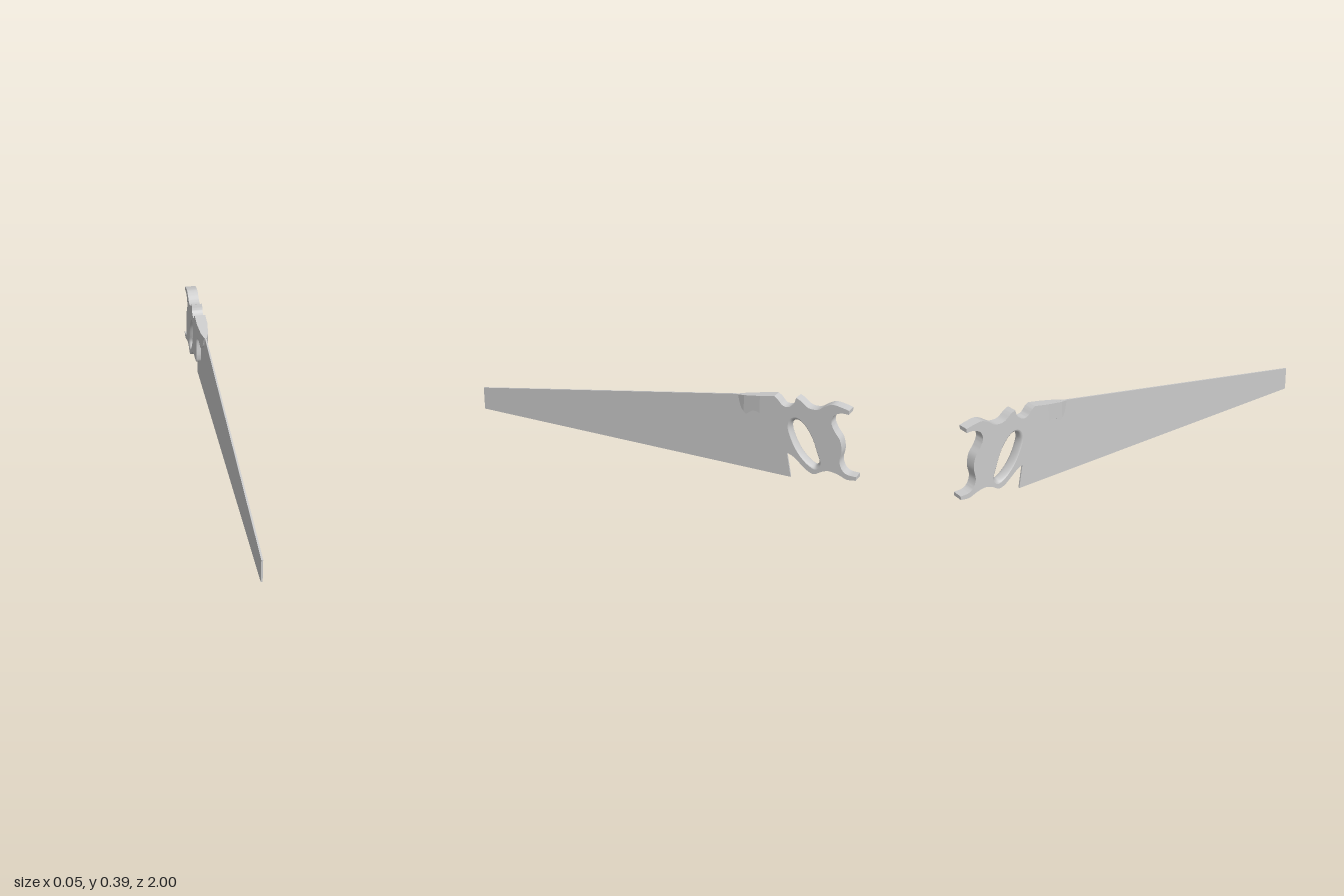
import * as THREE from 'three';
import { toCreasedNormals } from 'three/addons/utils/BufferGeometryUtils.js';

// Profiles are drawn in (u, y) with u = -z, then turned so that depth runs along x.
const HALF = 0.027;
const BLADE_HALF = 0.004;
const material = new THREE.MeshStandardMaterial({ color: 0xcccccc });

// Smooth curve through the points
function smooth(points, closed = false, steps = 5) {
  const curve = new THREE.CatmullRomCurve3(points.map(([u, y]) => new THREE.Vector3(u, y, 0)), closed);
  const n = (closed ? points.length : points.length - 1) * steps;
  const result = [];
  for (let i = 0; i < (closed ? n : n + 1); i++) {
    const p = curve.getPoint(i / n);
    result.push(new THREE.Vector2(p.x, p.y));
  }
  return result;
}

// Keep the part of an outline on one side of u = limit
function clip(points, limit, side) {
  const out = [];
  points.forEach((a, i) => {
    const b = points[(i + 1) % points.length];
    const da = (a.x - limit) * side, db = (b.x - limit) * side;
    if (da >= 0) out.push(a);
    if (da * db < 0) out.push(a.clone().lerp(b, da / (da - db)));
  });
  return out;
}

function slab(points, half, holes = []) {
  const shape = new THREE.Shape(points);
  holes.forEach((h) => shape.holes.push(new THREE.Path(h)));
  return new THREE.ExtrudeGeometry(shape, { depth: half * 2, bevelEnabled: false }).translate(0, 0, -half);
}

function addPart(group, name, geometry) {
  const mesh = new THREE.Mesh(geometry.rotateY(Math.PI / 2), material);
  mesh.name = name;
  group.add(mesh);
}

// Each run is smooth; corners between runs stay sharp
const OUTLINE_RUNS = [
  [[0.425, 0.345], [0.607, 0.377]],
  [[0.607, 0.377], [0.623, 0.366], [0.65, 0.34], [0.676, 0.339], [0.698, 0.356], [0.709, 0.388]],
  [[0.709, 0.388], [0.73, 0.378], [0.767, 0.352], [0.81, 0.352], [0.845, 0.374], [0.874, 0.387], [0.917, 0.382], [0.949, 0.374]],
  [[0.949, 0.374], [0.949, 0.356]],
  [[0.949, 0.356], [0.917, 0.356], [0.885, 0.34], [0.874, 0.307], [0.89, 0.27], [0.917, 0.233], [0.928, 0.184],
    [0.922, 0.131], [0.938, 0.094], [0.96, 0.08], [1, 0.078]],
  [[1, 0.078], [1, 0.061]],
  [[1, 0.061], [0.96, 0.057], [0.917, 0.072], [0.874, 0.078], [0.842, 0.067], [0.81, 0.049], [0.783, 0.056],
    [0.746, 0.083], [0.703, 0.115], [0.666, 0.126]],
  [[0.666, 0.126], [0.591, 0.126]],
  [[0.591, 0.126], [0.564, 0.136], [0.553, 0.168], [0.553, 0.259], [0.537, 0.286], [0.505, 0.288], [0.473, 0.265]],
  [[0.473, 0.265], [0.447, 0.288], [0.425, 0.345]],
];

const HOLE = [[0.714, 0.297], [0.746, 0.281], [0.789, 0.227], [0.821, 0.152], [0.837, 0.099], [0.816, 0.072],
  [0.783, 0.083], [0.735, 0.126], [0.698, 0.184], [0.676, 0.249], [0.687, 0.286]];

// Rounded wall of the grip opening, narrowest at mid thickness
function holeRim(hole) {
  const rows = 10, n = hole.length, positions = [], index = [];
  for (let i = 0; i <= rows; i++) {
    const t = (i / rows - 0.5) * Math.PI;
    const s = 1 - 0.13 * Math.cos(t);
    hole.forEach((p) => positions.push(0.757 + (p.x - 0.757) * s, 0.183 + (p.y - 0.183) * s, HALF * Math.sin(t)));
  }
  for (let i = 0; i < rows; i++) {
    for (let j = 0; j < n; j++) {
      const k = (j + 1) % n, a = i * n, b = a + n;
      index.push(a + j, a + k, b + j, a + k, b + k, b + j);
    }
  }
  const geometry = new THREE.BufferGeometry();
  geometry.setAttribute('position', new THREE.Float32BufferAttribute(positions, 3));
  geometry.setIndex(index);
  geometry.computeVertexNormals();
  return geometry;
}

export function createModel() {
  const group = new THREE.Group();
  group.name = 'handSaw';

  // Tapered blade with a slanted heel, its rear end buried in the handle
  const blade = [[-1, 0], [0.693, 0], [0.666, 0.13], [0.6, 0.3], [0.58, 0.371], [-1, 0.115]];
  addPart(group, 'blade', slab(blade.map(([u, y]) => new THREE.Vector2(u, y)), BLADE_HALF));

  // Handle: full-thickness grip, then nose sections thinning toward the blade
  const outline = OUTLINE_RUNS.flatMap((run) => (run.length > 2 ? smooth(run) : smooth(run, false, 1)).slice(0, -1));
  const hole = smooth(HOLE, true);
  const handle = new THREE.Group();
  handle.name = 'handle';
  group.add(handle);
  addPart(handle, 'grip', toCreasedNormals(slab(clip(outline, 0.54, 1), HALF, [hole]), 0.6));
  addPart(handle, 'gripOpening', holeRim(hole));

  const sections = [[0.42, 0.005], [0.46, 0.018], [0.54, HALF]];
  for (let i = 0; i < 2; i++) {
    const [u0, h0] = sections[i], [u1, h1] = sections[i + 1];
    const geometry = slab(clip(clip(outline, u0, 1), u1, -1), 1);
    const pos = geometry.attributes.position;
    for (let v = 0; v < pos.count; v++) {
      const t = (pos.getX(v) - u0) / (u1 - u0);
      pos.setZ(v, pos.getZ(v) * THREE.MathUtils.lerp(h0, h1, t));
    }
    addPart(handle, 'noseSection' + (i + 1), toCreasedNormals(geometry, 0.6));
  }
  return group;
}
